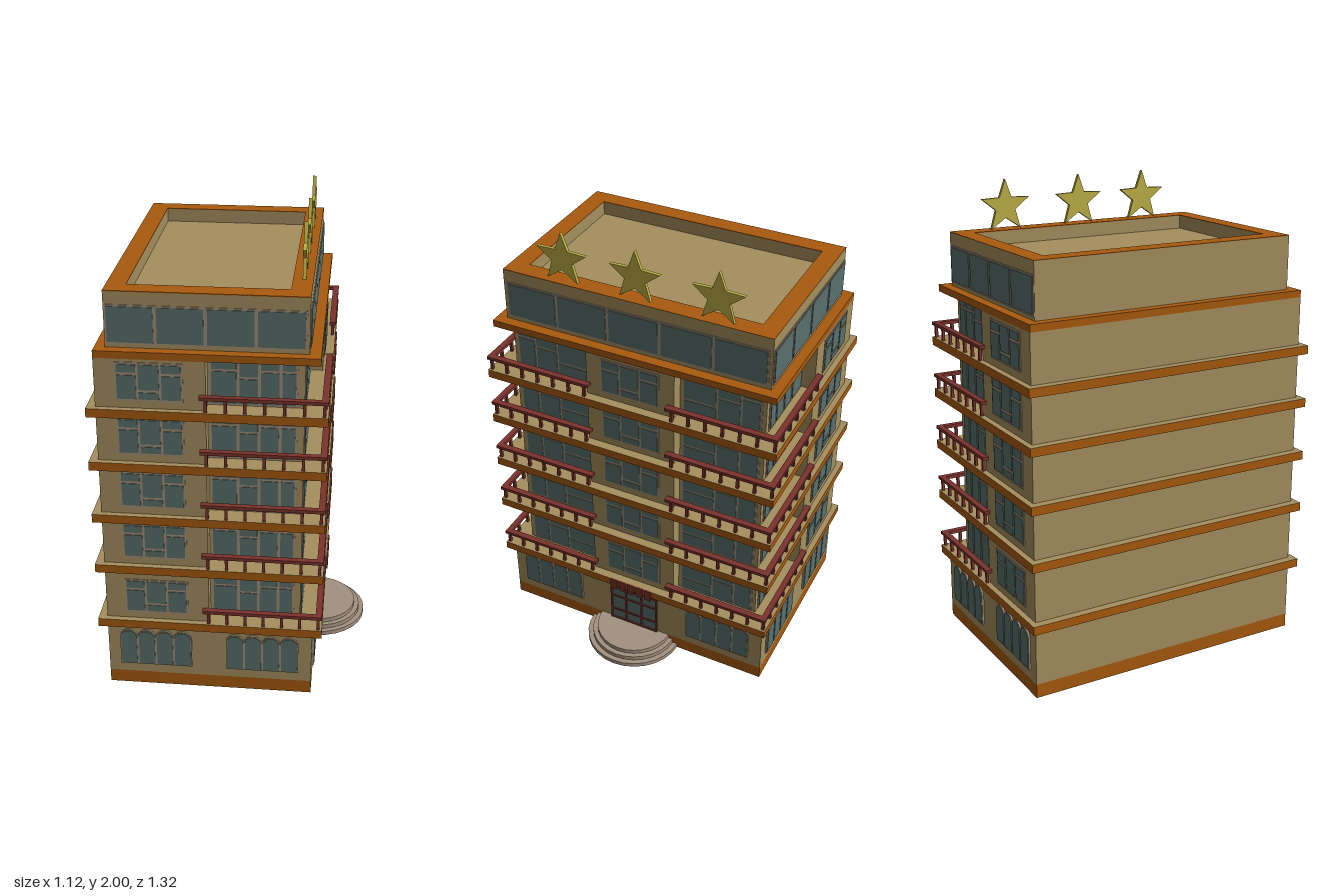
import * as THREE from 'three';

const mat = (color, side = THREE.FrontSide) => new THREE.MeshStandardMaterial({ color, side, flatShading: true });

export function createModel() {
  const model = new THREE.Group();
  const tan = mat(0xa58f5e, THREE.DoubleSide), orange = mat(0xa85a0e, THREE.DoubleSide);
  const glass = mat(0x5a706c), frame = mat(0xa08f78), red = mat(0x7c332c);
  const stone = mat(0xa39180), gold = mat(0xbdb045);

  const add = (name, geometry, material, parent = model) => {
    const mesh = new THREE.Mesh(geometry, material);
    mesh.name = name;
    parent.add(mesh);
    return mesh;
  };
  const group = (name) => {
    const g = new THREE.Group();
    g.name = name;
    model.add(g);
    return g;
  };
  // Box given by its limits on each axis
  const box = (name, x0, x1, y0, y1, z0, z1, material, parent) => {
    const m = add(name, new THREE.BoxGeometry(x1 - x0, y1 - y0, z1 - z0), material, parent);
    m.position.set((x0 + x1) / 2, (y0 + y1) / 2, (z0 + z1) / 2);
    return m;
  };
  const rect = (x0, x1, z) => [[x0, z], [x1, z], [x1, -z], [x0, -z]];
  const toPoints = (pts) => pts.map(([x, z]) => new THREE.Vector2(x, -z));
  // Horizontal plate with an optional opening; caps and sides may differ
  const plate = (name, outline, hole, y0, y1, materials) => {
    const shape = new THREE.Shape(toPoints(outline));
    if (hole) shape.holes.push(new THREE.Path(toPoints(hole)));
    const geo = new THREE.ExtrudeGeometry(shape, { depth: y1 - y0, bevelEnabled: false });
    geo.rotateX(-Math.PI / 2);
    geo.translate(0, y0, 0);
    return add(name, geo, materials);
  };
  // Open, hollow run of walls along an outline
  const walls = (name, outline, y0, y1, material) => {
    const pos = [], index = [];
    outline.forEach(([x, z], i) => {
      const [x2, z2] = outline[(i + 1) % outline.length], n = i * 4;
      pos.push(x, y0, z, x2, y0, z2, x2, y1, z2, x, y1, z);
      index.push(n, n + 1, n + 2, n, n + 2, n + 3);
    });
    const geo = new THREE.BufferGeometry();
    geo.setAttribute('position', new THREE.Float32BufferAttribute(pos, 3));
    geo.setIndex(index);
    geo.computeVertexNormals();
    return add(name, geo, material);
  };
  // Thin panel on a facade: u runs along the wall, d is the wall plane, t the projection
  const panel = (name, face, u0, u1, v0, v1, d, t, material, parent) => {
    if (face === 'side') box(name, d - 0.004, d + t, v0, v1, u0, u1, material, parent);
    else if (face === 'front') box(name, u0, u1, v0, v1, d - 0.004, d + t, material, parent);
    else box(name, u0, u1, v0, v1, -d - t, -d + 0.004, material, parent);
  };
  // Framed window made of panes [u0, u1, v0, v1]
  const windowOf = (name, face, panes, y, d, edge = 0.008) => {
    const g = group(name);
    const lim = (k, f) => f(...panes.map((p) => p[k]));
    panel('windowFrame', face, lim(0, Math.min) - edge, lim(1, Math.max) + edge,
      y + lim(2, Math.min) - edge, y + lim(3, Math.max) + edge, d, 0.003, frame, g);
    for (const [u0, u1, v0, v1] of panes) panel('pane', face, u0, u1, y + v0, y + v1, d, 0.006, glass, g);
  };
  const mirrored = (panes) => panes.map(([a, b, c, d]) => [-b, -a, c, d]);

  // Base and ground floor
  const body = rect(-0.53, 0.34, 0.635);
  walls('base', body, 0, 0.06, orange);
  walls('groundFloorWalls', body, 0.06, 0.305, tan);

  // Rows of four arched ground floor windows
  const archShape = (w, h) => {
    const s = new THREE.Shape(), r = w / 2;
    s.moveTo(-r, 0);
    s.lineTo(r, 0);
    s.lineTo(r, h - r);
    s.absarc(0, h - r, r, 0, Math.PI, false);
    s.closePath();
    return s;
  };
  const arch = (name, face, u, w, y, h, t, material, parent) => {
    const geo = new THREE.ExtrudeGeometry(archShape(w, h), { depth: t, bevelEnabled: false, curveSegments: 8 });
    const m = add(name, geo, material, parent);
    if (face === 'front') m.position.set(u, y, 0.635);
    if (face === 'back') { m.position.set(u, y, -0.635); m.rotation.y = Math.PI; }
    if (face === 'side') { m.position.set(0.34, y, u); m.rotation.y = Math.PI / 2; }
  };
  const archRow = (face, center) => {
    const g = group('archedWindows');
    for (let i = 0; i < 4; i++) {
      const u = center + (i - 1.5) * 0.077;
      arch('archFrame', face, u, 0.077, 0.105, 0.175, 0.008, frame, g);
      arch('archPane', face, u, 0.068, 0.11, 0.165, 0.011, glass, g);
    }
  };
  for (const face of ['front', 'back']) [-0.325, 0.13].forEach((u) => archRow(face, u));
  [0.427, -0.42].forEach((u) => archRow('side', u));

  // Entrance door with red bars, blank sign tiles and round steps
  const door = group('entranceDoor');
  panel('doorGlass', 'side', -0.115, 0.115, 0.06, 0.265, 0.34, 0.005, glass, door);
  for (const u of [-0.115, -0.04, 0.04, 0.115])
    panel('doorPost', 'side', u - 0.004, u + 0.004, 0.06, 0.268, 0.34, 0.011, red, door);
  for (const v of [0.064, 0.12, 0.205, 0.264])
    panel('doorBar', 'side', -0.115, 0.115, v - 0.004, v + 0.004, 0.34, 0.01, red, door);
  const sign = group('blankSign');
  for (let i = -2; i <= 2; i++)
    box('signTile', 0.378, 0.386, 0.287, 0.343, i * 0.043 - 0.02, i * 0.043 + 0.012, red, sign);
  [0.22, 0.197, 0.175].forEach((r, i) => {
    const step = add('entranceStep', new THREE.CylinderGeometry(r, r, 0.02, 14, 1, false, 0, Math.PI), stone);
    step.position.set(0.34, 0.01 + i * 0.02, 0);
  });

  // Upper floors: recessed balcony corners on the +x side
  const half = [[-0.53, 0.635], [-0.095, 0.635], [-0.095, 0.575], [0.285, 0.575], [0.285, 0.2], [0.34, 0.2]];
  const floorOutline = [...half, ...half.map(([x, z]) => [x, -z]).reverse()];
  const smallWindow = [
    [-0.125, -0.05, 0, 0.1], [-0.125, -0.05, 0.112, 0.145],
    [-0.04, 0.04, 0, 0.028], [-0.04, 0.04, 0.04, 0.145],
    [0.05, 0.125, 0, 0.1], [0.05, 0.125, 0.112, 0.145],
  ];
  const frontSmall = smallWindow.map(([a, b, c, d]) => [a - 0.315, b - 0.315, c, d]);
  const frontBalcony = [
    [-0.08, 0.018, 0.01, 0.145], [-0.08, 0.018, 0.155, 0.195],
    [0.03, 0.102, 0.01, 0.115], [0.03, 0.102, 0.125, 0.195],
    [0.114, 0.185, 0.01, 0.145], [0.114, 0.185, 0.155, 0.195],
    [0.197, 0.25, 0.01, 0.145], [0.197, 0.25, 0.155, 0.195],
  ];
  const sideBalcony = [
    [0.22, 0.36, 0.01, 0.065], [0.22, 0.36, 0.075, 0.195],
    [0.37, 0.465, 0.01, 0.115], [0.37, 0.465, 0.125, 0.195],
    [0.475, 0.55, 0.01, 0.145], [0.475, 0.55, 0.155, 0.195],
  ];
  const railing = (y) => {
    const g = group('balconyRailing');
    for (const s of [1, -1]) {
      const zBar = (a, b) => [Math.min(a * s, b * s), Math.max(a * s, b * s)];
      box('handrail', -0.12, 0.38, y + 0.053, y + 0.067, ...zBar(0.635, 0.66), red, g);
      box('handrail', 0.353, 0.38, y + 0.053, y + 0.067, ...zBar(0.175, 0.635), red, g);
      for (let i = 0; i < 7; i++) {
        const x = -0.095 + i * 0.0765, z = 0.2 + i * 0.0745;
        box('railPost', x - 0.006, x + 0.006, y, y + 0.055, ...zBar(0.641, 0.653), red, g);
        if (i < 6) box('railPost', 0.36, 0.372, y, y + 0.055, ...zBar(z - 0.006, z + 0.006), red, g);
      }
    }
  };
  const floors = [0.34, 0.61, 0.85, 1.09, 1.325, 1.56];
  for (let i = 0; i < 5; i++) {
    const y = floors[i];
    plate('floorSlab', rect(-0.565, 0.38, 0.66), rect(-0.5, 0.27, 0.56), y - 0.037, y, [tan, orange]);
    walls('upperFloorWalls', floorOutline, y, floors[i + 1] - 0.03, tan);
    for (const face of ['front', 'back']) {
      windowOf('sideWindow', face, frontSmall, y + 0.04, 0.635);
      windowOf('balconyWindow', face, frontBalcony, y, 0.575);
    }
    windowOf('centerWindow', 'side', smallWindow, y + 0.037, 0.34);
    windowOf('balconyWindow', 'side', sideBalcony, y, 0.285);
    windowOf('balconyWindow', 'side', mirrored(sideBalcony), y, 0.285);
    railing(y);
  }

  // Top slab, penthouse and sunken roof
  plate('topSlab', rect(-0.53, 0.345, 0.635), null, 1.53, 1.56, orange);
  const pent = rect(-0.488, 0.3, 0.593), well = rect(-0.41, 0.22, 0.515);
  walls('penthouseWalls', pent, 1.56, 1.788, tan);
  plate('parapetRim', pent, well, 1.786, 1.79, orange);
  walls('parapetInnerWalls', well, 1.73, 1.787, tan);
  plate('roof', well, null, 1.725, 1.73, tan);
  const paneRow = (u0, u1, n) => {
    const w = (u1 - u0) / n;
    return Array.from({ length: n }, (_, i) => [u0 + i * w + 0.007, u0 + (i + 1) * w - 0.007, 0, 0.145]);
  };
  for (const face of ['front', 'back']) windowOf('penthouseWindow', face, paneRow(-0.485, 0.29, 4), 1.583, 0.593, 0.007);
  windowOf('penthouseWindow', 'side', paneRow(-0.58, 0.58, 5), 1.583, 0.3, 0.007);

  // Three roof stars facing the entrance side
  const starShape = new THREE.Shape(Array.from({ length: 10 }, (_, i) => {
    const r = i % 2 ? 0.048 : 0.116, a = Math.PI / 2 + i * Math.PI / 5;
    return new THREE.Vector2(Math.cos(a) * r, Math.sin(a) * r);
  }));
  for (const z of [0.33, 0.005, -0.35]) {
    const star = add('roofStar', new THREE.ExtrudeGeometry(starShape, { depth: 0.015, bevelEnabled: false }), gold);
    star.rotation.y = Math.PI / 2;
    star.position.set(0.257, 1.884, z);
  }
  return model;
}
